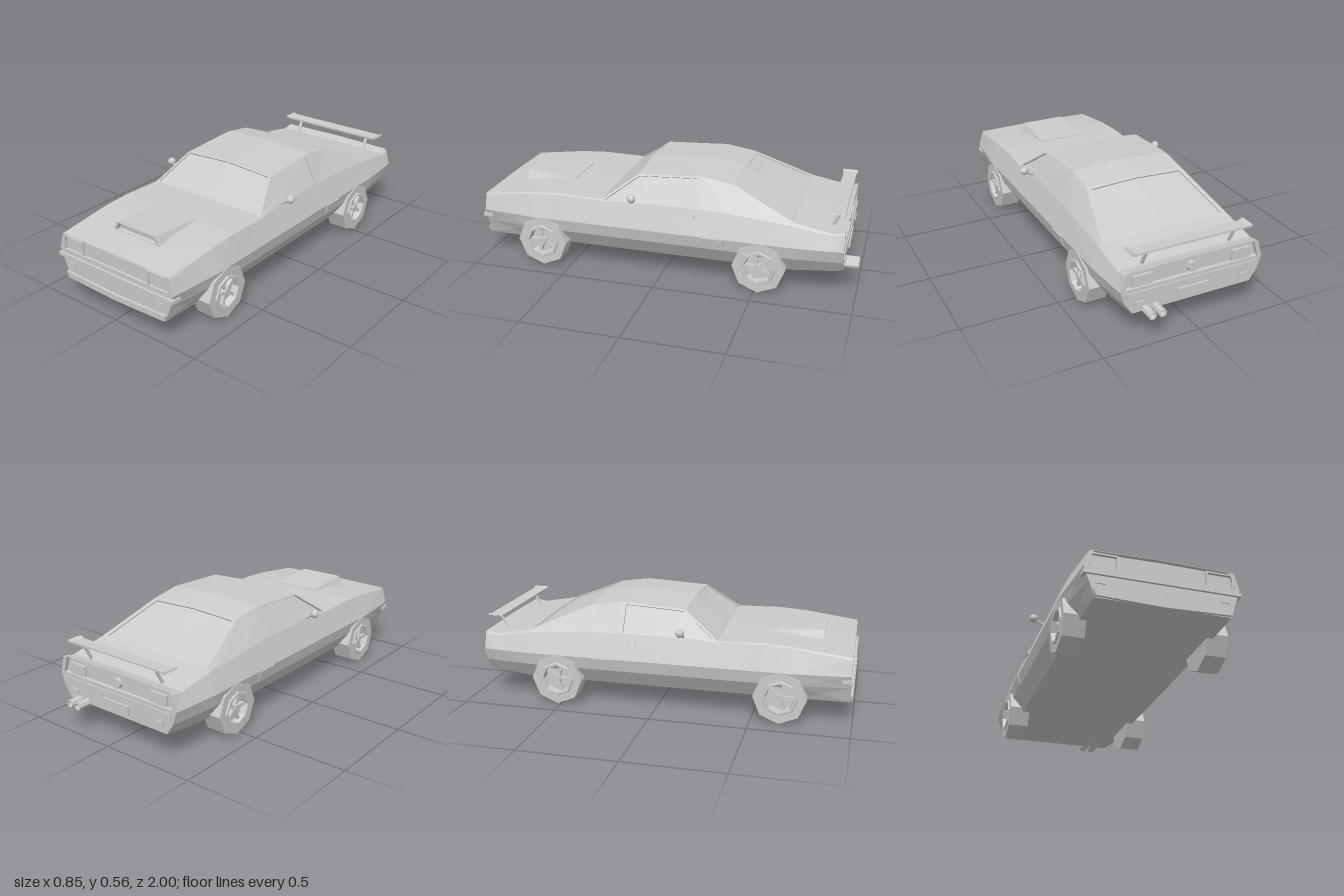
import * as THREE from 'three';

const mat = new THREE.MeshStandardMaterial({ color: 0xcccccc, flatShading: true });
const V = (x, y, z) => new THREE.Vector3(x, y, z);

function add(parent, name, geometry, x = 0, y = 0, z = 0) {
  const m = new THREE.Mesh(geometry, mat);
  m.name = name;
  m.position.set(x, y, z);
  parent.add(m);
  return m;
}
const box = (parent, name, w, h, d, x, y, z) => add(parent, name, new THREE.BoxGeometry(w, h, d), x, y, z);

// Collects polygons, turned so that they face the given outward direction
class Surface {
  constructor() { this.data = []; }
  tri(...pts) { pts.forEach((p) => this.data.push(p.x, p.y, p.z)); }
  static orient(pts, out) {
    const mid = pts.reduce((s, p) => s.add(p), V(0, 0, 0)).divideScalar(pts.length);
    const normal = V(0, 0, 0);
    pts.forEach((p, i) => {
      const q = pts[(i + 1) % pts.length];
      normal.add(p.clone().sub(mid).cross(q.clone().sub(mid)));
    });
    const flip = normal.dot(out) < 0;
    return { mid, normal: normal.normalize().multiplyScalar(flip ? -1 : 1), pts: flip ? [...pts].reverse() : pts };
  }
  poly(points, out) {
    const { mid, pts } = Surface.orient(points, out);
    pts.forEach((p, i) => this.tri(p, pts[(i + 1) % pts.length], mid));
  }
  // Frame around a sunken pane
  panel(points, out, scale, depth) {
    const { mid, normal, pts } = Surface.orient(points, out);
    const rim = pts.map((p) => p.clone().lerp(mid, 1 - scale));
    const low = rim.map((p) => p.clone().addScaledVector(normal, -depth));
    const floor = mid.clone().addScaledVector(normal, -depth);
    pts.forEach((p, i) => {
      const j = (i + 1) % pts.length;
      this.tri(p, pts[j], rim[j]); this.tri(p, rim[j], rim[i]);
      this.tri(rim[i], rim[j], low[j]); this.tri(rim[i], low[j], low[i]);
      this.tri(low[i], low[j], floor);
    });
  }
  geometry() {
    const g = new THREE.BufferGeometry();
    g.setAttribute('position', new THREE.Float32BufferAttribute(this.data, 3));
    g.computeVertexNormals();
    return g;
  }
}

// Cross-sections: z, floor y, floor x, sill x, widest x, shoulder x y, roof edge x y, centre y
const SECTIONS = [
  [0.985, 0.115, 0.32, 0.35, 0.373, 0.35, 0.343, 0.343, 0.352, 0.357],
  [0.7, 0.115, 0.33, 0.385, 0.4, 0.358, 0.38, 0.348, 0.388, 0.392],
  [0.55, 0.115, 0.33, 0.386, 0.4, 0.358, 0.39, 0.348, 0.397, 0.401],
  [0.32, 0.115, 0.33, 0.386, 0.4, 0.358, 0.385, 0.35, 0.391, 0.395],
  [0.14, 0.115, 0.33, 0.386, 0.4, 0.354, 0.395, 0.275, 0.522, 0.538],
  [-0.2, 0.115, 0.33, 0.386, 0.4, 0.354, 0.395, 0.272, 0.54, 0.557],
  [-0.36, 0.115, 0.33, 0.386, 0.4, 0.356, 0.39, 0.272, 0.515, 0.527],
  [-0.68, 0.115, 0.33, 0.386, 0.4, 0.362, 0.365, 0.348, 0.378, 0.384],
  [-0.87, 0.133, 0.325, 0.368, 0.386, 0.358, 0.335, 0.348, 0.343, 0.348],
  [-0.93, 0.14, 0.32, 0.36, 0.38, 0.356, 0.345, 0.345, 0.355, 0.36],
];

function buildBody(car) {
  const rows = SECTIONS.map(([z, yb, wb, wm, wx, x4, y4, x5, y5, c]) =>
    [V(0, yb, z), V(wb, yb, z), V(wm, 0.2, z), V(wx, 0.265, z), V(x4, y4, z), V(x5, y5, z), V(0, c, z)]);
  const mir = (p) => V(-p.x, p.y, p.z);
  const shell = new Surface(), glass = new Surface(), ends = new Surface();
  const openings = ['3,4', '4,4', '3,5', '6,5'];
  for (let r = 0; r < rows.length - 1; r++) {
    for (let k = 0; k < 6; k++) {
      if (openings.includes(`${r},${k}`)) continue;
      const q = [rows[r][k], rows[r][k + 1], rows[r + 1][k + 1], rows[r + 1][k]];
      const out = V(0, 0, 0);
      q.forEach((p) => out.add(V(p.x, p.y - 0.27, 0)));
      shell.poly(q, out);
      shell.poly(q.map(mir), V(-out.x, out.y, 0));
    }
  }
  add(car, 'bodyShell', shell.geometry());

  // Windscreen, rear window and side windows
  const across = (a, b) => [mir(rows[a][5]), rows[a][6], rows[a][5], rows[b][5], rows[b][6], mir(rows[b][5])];
  glass.panel(across(3, 4), V(0, 1, 1), 0.96, 0.008);
  glass.panel(across(6, 7), V(0, 1, -1), 0.92, 0.008);
  const side = [3, 4, 5].map((r) => rows[r][4]).concat([5, 4, 3].map((r) => rows[r][5]));
  glass.panel(side, V(1, 0.4, 0), 0.9, 0.01);
  glass.panel(side.map(mir), V(-1, 0.4, 0), 0.9, 0.01);
  add(car, 'windows', glass.geometry());

  // Nose and tail, each with a sunken upper panel
  [[rows[0], V(0, 0, 1)], [rows[rows.length - 1], V(0, 0, -1)]].forEach(([row, out]) => {
    const loop = (list) => list.concat(list.filter((p) => p.x > 0).reverse().map(mir));
    ends.panel(loop([row[6], row[5], row[4], row[3]]), out, 0.94, 0.02);
    ends.poly(loop([row[0], row[1], row[2], row[3]]), out);
  });
  add(car, 'noseAndTail', ends.geometry());
}

function buildWheel(car, side, z) {
  const wheel = new THREE.Group();
  wheel.name = 'wheel';
  const profile = [[0, -0.055], [0.135, -0.055], [0.135, 0.053], [0.092, 0.053], [0.088, 0.06], [0.076, 0.06], [0.07, 0.025], [0, 0.025]];
  add(wheel, 'tyreAndRim', new THREE.LatheGeometry(profile.map(([r, y]) => new THREE.Vector2(r, y)), 8));
  add(wheel, 'hub', new THREE.CylinderGeometry(0.018, 0.022, 0.03, 8), 0, 0.036, 0);
  for (let i = 0; i < 5; i++) {
    const a = i * Math.PI * 0.4;
    const spoke = box(wheel, 'spoke', 0.016, 0.02, 0.066, Math.sin(a) * 0.04, 0.034, Math.cos(a) * 0.04);
    spoke.rotation.y = a;
  }
  wheel.rotation.z = -side * Math.PI / 2;
  wheel.position.set(side * 0.35, 0.135, z);
  car.add(wheel);
}

function frameGeometry(w, h, t, depth) {
  const rect = (P, a, b) => new P([[-a, -b], [a, -b], [a, b], [-a, b]].map(([x, y]) => new THREE.Vector2(x, y)));
  const s = rect(THREE.Shape, w / 2, h / 2);
  s.holes.push(rect(THREE.Path, w / 2 - t, h / 2 - t));
  return new THREE.ExtrudeGeometry(s, { depth, bevelEnabled: false });
}

function rod(parent, name, a, b, r) {
  const m = add(parent, name, new THREE.CylinderGeometry(r, r, a.distanceTo(b), 6));
  m.position.copy(a).lerp(b, 0.5);
  m.quaternion.setFromUnitVectors(V(0, 1, 0), b.clone().sub(a).normalize());
}

export function createModel() {
  const car = new THREE.Group();
  car.name = 'car';
  buildBody(car);

  // Bonnet scoop: a wedge with a sunken mouth
  const scoop = new Surface();
  const [a, b, c, d] = [V(-0.148, 0.375, 0.83), V(0.148, 0.375, 0.83), V(0.125, 0.421, 0.835), V(-0.125, 0.421, 0.835)];
  const [e, f, g, h] = [V(-0.135, 0.39, 0.55), V(0.135, 0.39, 0.55), V(0.13, 0.404, 0.55), V(-0.13, 0.404, 0.55)];
  scoop.panel([a, b, c, d], V(0, 0, 1), 0.88, 0.02);
  scoop.poly([d, c, g, h], V(0, 1, 0));
  scoop.poly([b, c, g, f], V(1, 0, 0));
  scoop.poly([a, d, h, e], V(-1, 0, 0));
  scoop.poly([e, f, g, h], V(0, 0, -1));
  add(car, 'bonnetScoop', scoop.geometry());

  // Centre parts of both ends
  box(car, 'frontBumper', 0.75, 0.018, 0.03, 0, 0.236, 0.982);
  box(car, 'grille', 0.42, 0.085, 0.012, 0, 0.296, 0.966);
  box(car, 'rearBumper', 0.7, 0.03, 0.02, 0, 0.235, -0.926);
  box(car, 'numberPlate', 0.17, 0.05, 0.014, 0, 0.185, -0.934);
  add(car, 'fuelCap', new THREE.CylinderGeometry(0.028, 0.028, 0.02, 8), 0, 0.3, -0.918).rotation.x = Math.PI / 2;

  // Chin under the nose
  const chinShape = new THREE.Shape([[-0.32, 0.12], [0, 0.11], [0.32, 0.12], [0.33, 0.15], [0, 0.14], [-0.33, 0.15]]
    .map(([x, y]) => new THREE.Vector2(x, y)));
  add(car, 'chinSpoiler', new THREE.ExtrudeGeometry(chinShape, { depth: 0.025, bevelEnabled: false }), 0, 0, 0.973);

  // Rear wing
  const wing = box(car, 'wing', 0.6, 0.01, 0.07, 0, 0.431, -0.885);
  wing.rotation.x = 0.04;

  for (const s of [1, -1]) {
    buildWheel(car, s, 0.645);
    buildWheel(car, s, -0.52);

    add(car, 'headlightBezel', frameGeometry(0.135, 0.092, 0.008, 0.022), s * 0.278, 0.297, 0.963);
    box(car, 'headlight', 0.115, 0.072, 0.01, s * 0.278, 0.297, 0.968);
    box(car, 'frontIndicator', 0.046, 0.02, 0.008, s * 0.295, 0.195, 0.986);
    box(car, 'sideMarker', 0.012, 0.016, 0.045, s * 0.371, 0.236, 0.965);
    box(car, 'tailLight', 0.1, 0.055, 0.018, s * 0.265, 0.298, -0.915);
    box(car, 'reverseLight', 0.045, 0.025, 0.012, s * 0.28, 0.185, -0.932);

    const handle = box(car, 'doorHandle', 0.012, 0.024, 0.075, s * 0.369, 0.355, -0.14);
    handle.rotation.z = s * 0.36;
    const vent = box(car, 'sideVent', 0.012, 0.06, 0.115, s * 0.392, 0.235, -0.278);
    vent.rotation.z = -s * 0.22;

    // Mirror on its stalk
    rod(car, 'mirrorStalk', V(s * 0.342, 0.395, 0.145), V(s * 0.402, 0.43, 0.14), 0.007);
    add(car, 'mirror', new THREE.SphereGeometry(0.022, 10, 8), s * 0.403, 0.433, 0.14);

    // Wing post and upturned tip
    rod(car, 'wingPost', V(s * 0.235, 0.34, -0.855), V(s * 0.235, 0.428, -0.9), 0.009);
    const tip = box(car, 'wingTip', 0.024, 0.01, 0.08, s * 0.308, 0.434, -0.885);
    tip.rotation.z = s * 0.35;

    // Twin exhaust on the left, open at the end
    const pipe = [[0, -0.08], [0.021, -0.08], [0.021, 0.08], [0.015, 0.08], [0.015, 0.04], [0, 0.04]];
    add(car, 'exhaustPipe', new THREE.LatheGeometry(pipe.map(([r, y]) => new THREE.Vector2(r, y)), 8),
      0.225 + s * 0.026, 0.148, -0.92).rotation.x = -Math.PI / 2;
  }
  return car;
}
